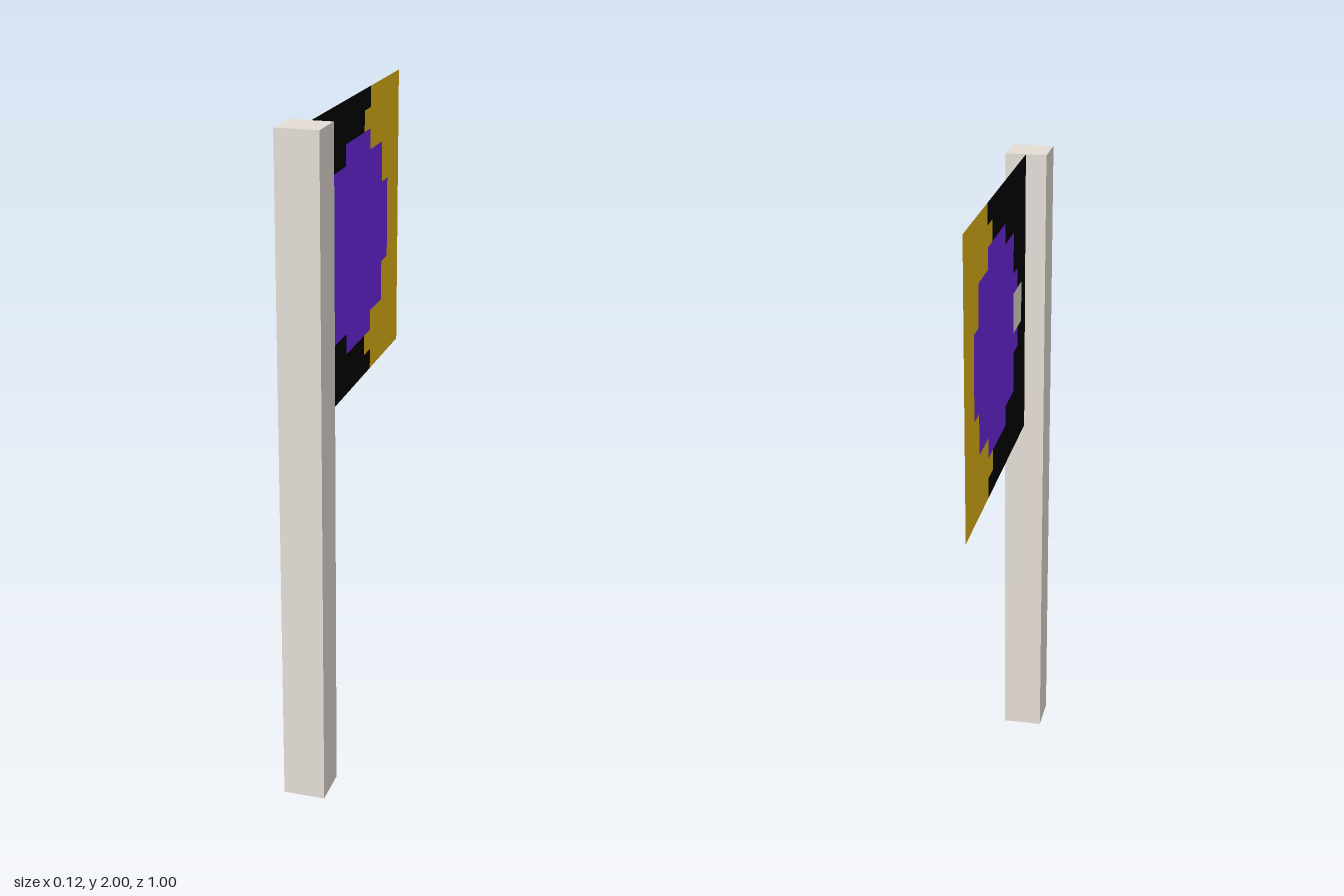
import * as THREE from 'three';
import { mergeGeometries } from 'three/addons/utils/BufferGeometryUtils.js';

const CELL = 0.0625; // size of one flag cell
const TOP = 2, HOIST = 0.375; // upper flag corner beside the pole

function material(name, color) {
  const m = new THREE.MeshStandardMaterial({ color, side: THREE.DoubleSide });
  m.name = name;
  return m;
}

// Flag pattern, hoist to fly: K field, G fly band, P emblem, S stud
const upper = [
  'KKKKKKKKKGGGGG',
  'KKKKKKKKGGGGGG',
  'KKKKKPPPPGGGGG',
  'KKKPPPPPPPPGGG',
  'KKKPPPPPPPPGGG',
  'KKPPPPPPPPPPGG',
  'KSSPPPPPPPPPGG'
];
const rows = [...upper, ...[...upper].reverse()];

// All runs of one letter, as upright rectangles facing +x
function patternGeometry(letter) {
  const parts = [];
  rows.forEach((row, r) => {
    for (const run of row.matchAll(new RegExp(letter + '+', 'g'))) {
      const n = run[0].length;
      const g = new THREE.PlaneGeometry(n * CELL, CELL);
      g.rotateY(Math.PI / 2);
      g.translate(0, TOP - (r + 0.5) * CELL, HOIST - (run.index + n / 2) * CELL);
      parts.push(g);
    }
  });
  return mergeGeometries(parts);
}

export function createModel() {
  const model = new THREE.Group();
  model.name = 'flagOnPole';
  const stone = material('pale stone', 0xe4ddd5);

  // Square pole
  const pole = new THREE.Mesh(new THREE.BoxGeometry(0.125, 2, 0.125), stone);
  pole.name = 'pole';
  pole.position.set(0, 1, 0.4375);
  model.add(pole);

  // Flag cloth, one mesh per colour
  const flag = new THREE.Group();
  flag.name = 'flag';
  const pieces = [
    ['K', 'darkField', material('black', 0x000000)],
    ['G', 'flyBand', material('gold', 0xe5b719)],
    ['P', 'emblem', material('purple', 0x6d28e6)],
    ['S', 'emblemStud', stone]
  ];
  for (const [letter, name, mat] of pieces) {
    const mesh = new THREE.Mesh(patternGeometry(letter), mat);
    mesh.name = name;
    flag.add(mesh);
  }
  model.add(flag);
  return model;
}
